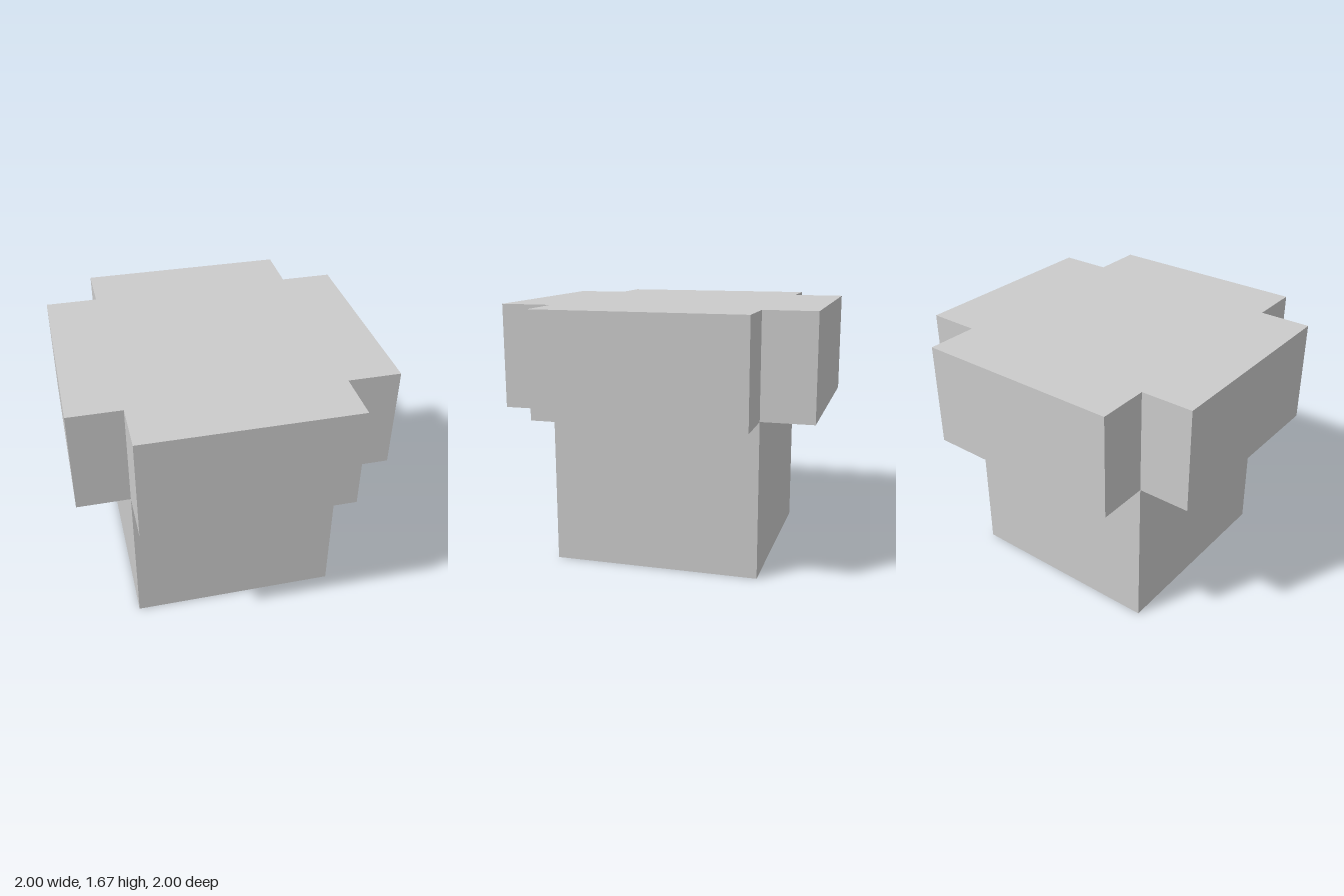
import * as THREE from 'three';

const INNER = 2 / 3; // half width of the column and of each arm
const OUTER = 1; // reach of the arms
const COLUMN_HEIGHT = 1;
const CAP_HEIGHT = 2 / 3;

export function createModel() {
  const group = new THREE.Group();
  group.name = 'crossCappedBlock';
  const material = new THREE.MeshStandardMaterial({ color: 0xcccccc, flatShading: true });

  // Square column
  const column = new THREE.Mesh(new THREE.BoxGeometry(2 * INNER, COLUMN_HEIGHT, 2 * INNER), material);
  column.name = 'column';
  column.position.y = COLUMN_HEIGHT / 2;
  group.add(column);

  // Cross-shaped cap: one notched corner, turned through four quarters
  const points = [];
  for (let i = 0; i < 4; i++) {
    for (const [x, y] of [[OUTER, INNER], [INNER, INNER], [INNER, OUTER]]) {
      points.push(new THREE.Vector2(x, y).rotateAround(new THREE.Vector2(), (i * Math.PI) / 2));
    }
  }
  const capGeometry = new THREE.ExtrudeGeometry(new THREE.Shape(points), { depth: CAP_HEIGHT, bevelEnabled: false });
  capGeometry.rotateX(-Math.PI / 2);
  const cap = new THREE.Mesh(capGeometry, material);
  cap.name = 'crossCap';
  cap.position.y = COLUMN_HEIGHT;
  group.add(cap);

  return group;
}
